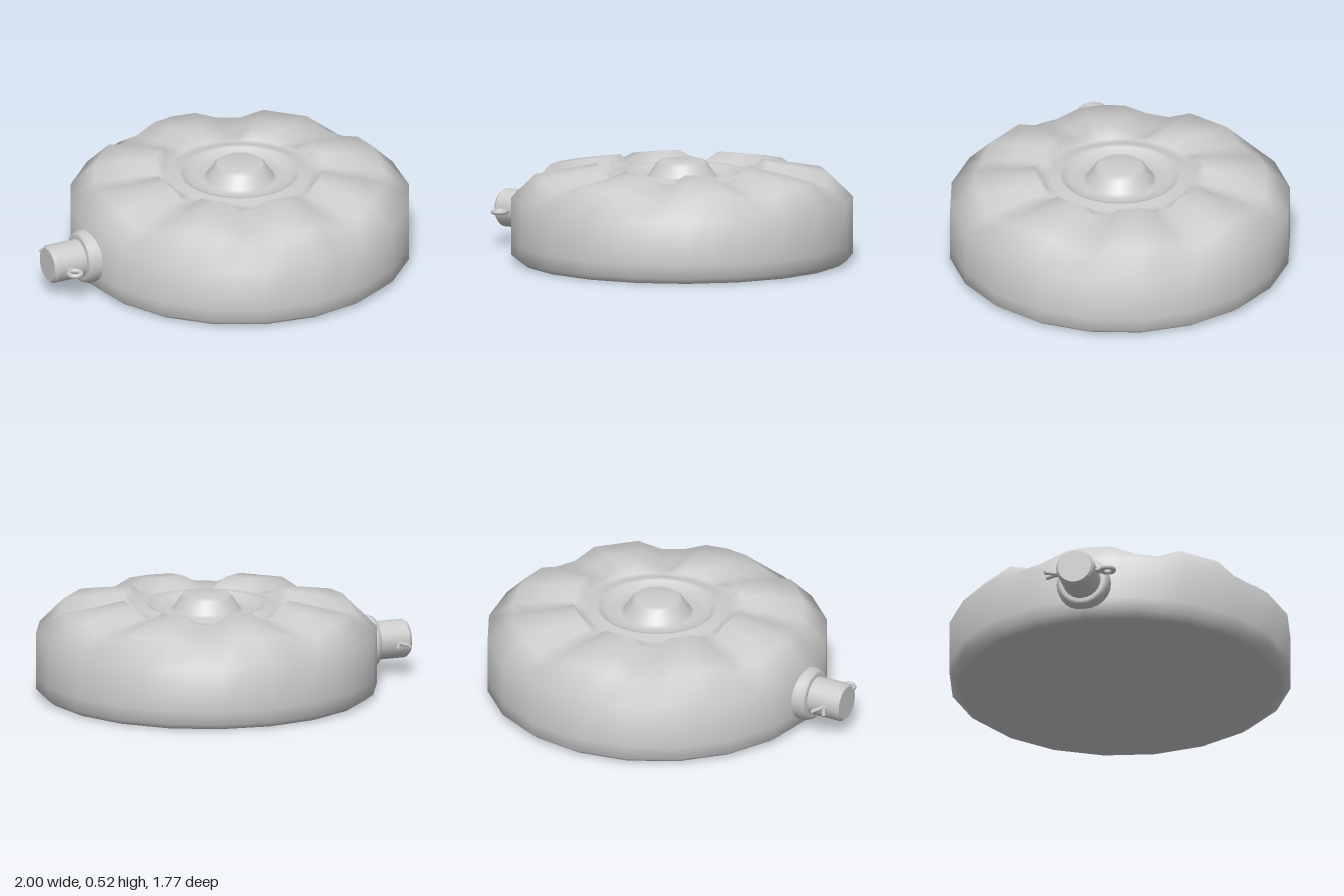
import * as THREE from 'three';

const COLUMNS = 40;
const material = new THREE.MeshStandardMaterial({ color: 0xcccccc, side: THREE.DoubleSide });

// Body rings from the bottom centre to the top centre: radius, height on a lobe, height in a gap
const RINGS = [
  [0, 0, 0], [0.82, 0, 0], [0.845, 0, 0], [0.885, 0.03, 0.03], [0.885, 0.1, 0.1], [0.885, 0.325, 0.325],
  [0.76, 0.45, 0.405], [0.6, 0.478, 0.43], [0.44, 0.505, 0.455], [0.4, 0.452, 0.447],
  [0.36, 0.45, 0.45], [0.315, 0.467, 0.467], [0.295, 0.462, 0.462], [0.26, 0.43, 0.43],
  [0.19, 0.43, 0.43], [0.172, 0.445, 0.445], [0.135, 0.503, 0.503], [0.115, 0.52, 0.52], [0, 0.52, 0.52],
];

// Eight flat lobes, one every 45 degrees, with sunken gaps between them
const isGap = (j) => [2, 3].includes(j % 5 === 0 ? 0 : Math.min(j % 10, 10 - (j % 10)));

function bodyGeometry() {
  const positions = [];
  const index = [];
  for (const [radius, high, low] of RINGS) {
    for (let j = 0; j < COLUMNS; j++) {
      const angle = (j / COLUMNS) * Math.PI * 2;
      // odd columns lie on the chords, so the wall has twenty sides
      const r = radius > 0.7 && j % 2 ? radius * Math.cos(Math.PI / 20) : radius;
      positions.push(r * Math.cos(angle), isGap(j) ? low : high, r * Math.sin(angle));
    }
  }
  for (let i = 0; i < RINGS.length - 1; i++) {
    for (let j = 0; j < COLUMNS; j++) {
      const k = (j + 1) % COLUMNS;
      const a = i * COLUMNS + j, b = i * COLUMNS + k, c = a + COLUMNS, d = b + COLUMNS;
      if (RINGS[i][0] > 0) index.push(a, c, b);
      if (RINGS[i + 1][0] > 0) index.push(b, c, d);
    }
  }
  const geometry = new THREE.BufferGeometry();
  geometry.setAttribute('position', new THREE.Float32BufferAttribute(positions, 3));
  geometry.setIndex(index);
  geometry.computeVertexNormals();
  return geometry;
}

function addMesh(parent, name, geometry) {
  const mesh = new THREE.Mesh(geometry, material);
  mesh.name = name;
  parent.add(mesh);
  return mesh;
}

// Turned part lying along -x, from [radius, distance] points
function addTurned(parent, name, points) {
  const profile = points.map(([r, d]) => new THREE.Vector2(r, d));
  const mesh = addMesh(parent, name, new THREE.LatheGeometry(profile, 24));
  mesh.rotation.z = Math.PI / 2;
  return mesh;
}

function addWire(parent, name, points) {
  const curve = new THREE.CatmullRomCurve3(points.map(([x, z]) => new THREE.Vector3(x, 0, z)));
  return addMesh(parent, name, new THREE.TubeGeometry(curve, 16, 0.011, 8));
}

export function createModel() {
  const model = new THREE.Group();
  model.name = 'pressureDisc';

  addMesh(model, 'body', bodyGeometry()).position.x = 0.115;

  // Side plug: collar and stub
  const plug = new THREE.Group();
  plug.name = 'sidePlug';
  plug.position.y = 0.18;
  model.add(plug);
  addTurned(plug, 'collar', [[0.14, 0.65], [0.14, 0.79], [0.13, 0.815], [0.115, 0.82], [0.09, 0.82]]);
  addTurned(plug, 'stub', [[0.1, 0.75], [0.1, 0.985], [0.1, 0.985], [0.088, 1], [0.088, 1], [0, 1]]);

  // Split pin through the stub: eye in front, splayed legs behind
  const pin = new THREE.Group();
  pin.name = 'splitPin';
  pin.position.x = -0.92;
  plug.add(pin);
  const eye = addMesh(pin, 'pinEye', new THREE.TorusGeometry(0.032, 0.013, 8, 20));
  eye.rotation.x = Math.PI / 2;
  eye.position.z = 0.158;
  for (const s of [-1, 1]) {
    addWire(pin, 'pinLeg', [[s * 0.01, 0.13], [s * 0.009, 0], [s * 0.009, -0.11], [s * 0.017, -0.135], [s * 0.035, -0.17]]);
  }
  return model;
}
